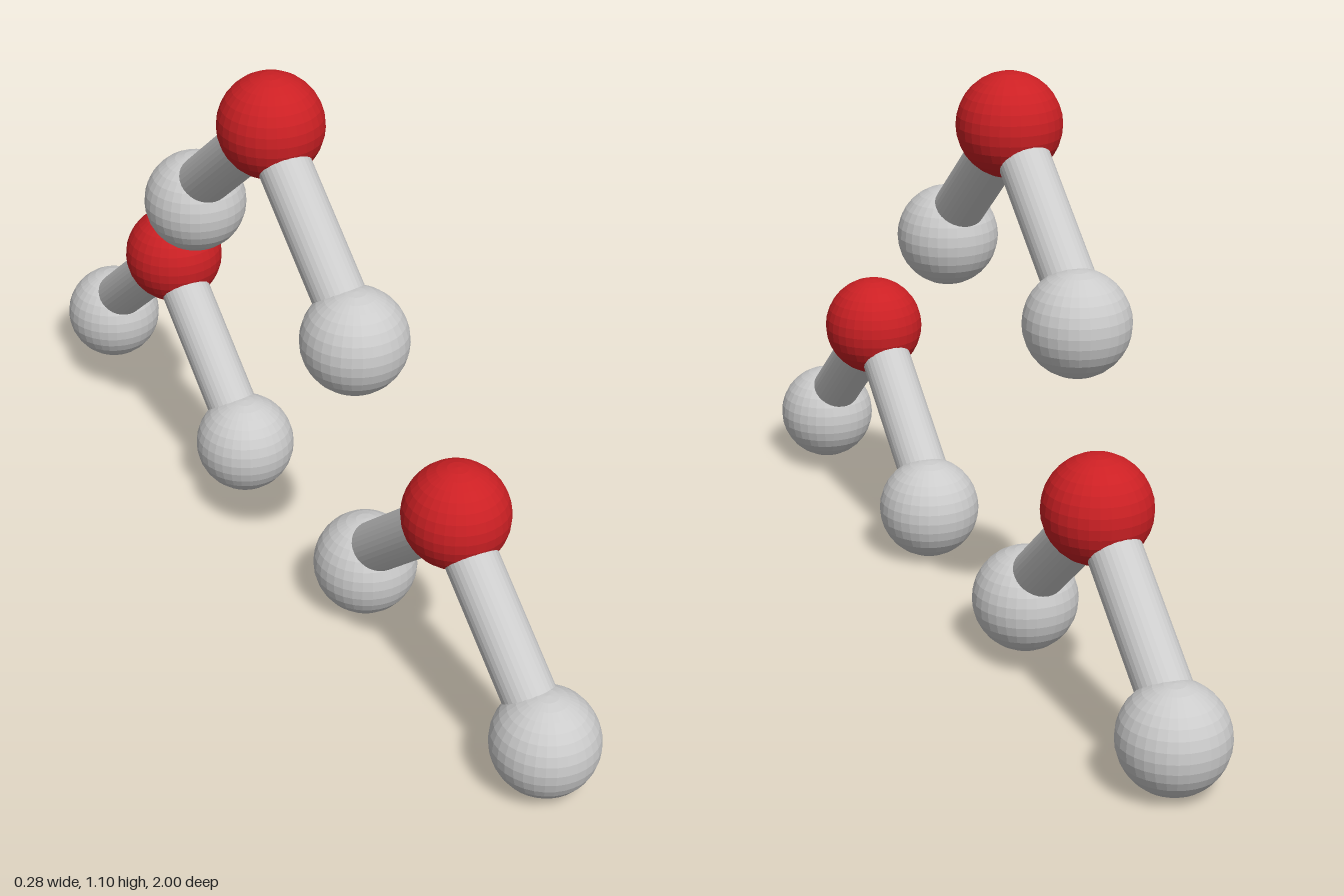
import * as THREE from 'three';

const BALL_RADIUS = 0.105;
const ROD_RADIUS = 0.0525;
const SPREAD = 0.321; // sideways distance from apex ball to each end ball
const RISE = 0.31;    // height of apex ball above the end balls

const grey = new THREE.MeshStandardMaterial({ color: 0xcccccc, flatShading: true });
const red = new THREE.MeshStandardMaterial({ color: 0xcc2024, flatShading: true });
const ballGeometry = new THREE.SphereGeometry(BALL_RADIUS, 32, 16);

function ball(name, material, y, z) {
  const mesh = new THREE.Mesh(ballGeometry, material);
  mesh.name = name;
  mesh.position.set(0, y, z);
  return mesh;
}

// Straight rod between two points
function rod(name, from, to) {
  const direction = to.clone().sub(from);
  const geometry = new THREE.CylinderGeometry(ROD_RADIUS, ROD_RADIUS, direction.length(), 32);
  const mesh = new THREE.Mesh(geometry, grey);
  mesh.name = name;
  mesh.position.copy(from).add(to).multiplyScalar(0.5);
  mesh.quaternion.setFromUnitVectors(new THREE.Vector3(0, 1, 0), direction.normalize());
  return mesh;
}

// Bent molecule: red apex ball, two grey end balls and two rods
function molecule(name, x, y, z) {
  const group = new THREE.Group();
  group.name = name;
  group.add(ball('apexBall', red, RISE, 0));
  for (const [side, s] of [['front', 1], ['back', -1]]) {
    group.add(ball(side + 'EndBall', grey, 0, s * SPREAD));
    // Rods run slightly off the ball centres
    group.add(rod(side + 'Rod',
      new THREE.Vector3(-0.005, RISE - 0.005, 0),
      new THREE.Vector3(-0.005, 0.027, s * SPREAD)));
  }
  group.position.set(x, y, z);
  return group;
}

export function createModel() {
  const model = new THREE.Group();
  model.name = 'moleculeCluster';
  model.add(
    molecule('upperMolecule', -0.038, 0.685, 0),
    molecule('frontMolecule', 0.036, 0.107, 0.574),
    molecule('backMolecule', 0.036, 0.107, -0.574),
  );
  return model;
}
